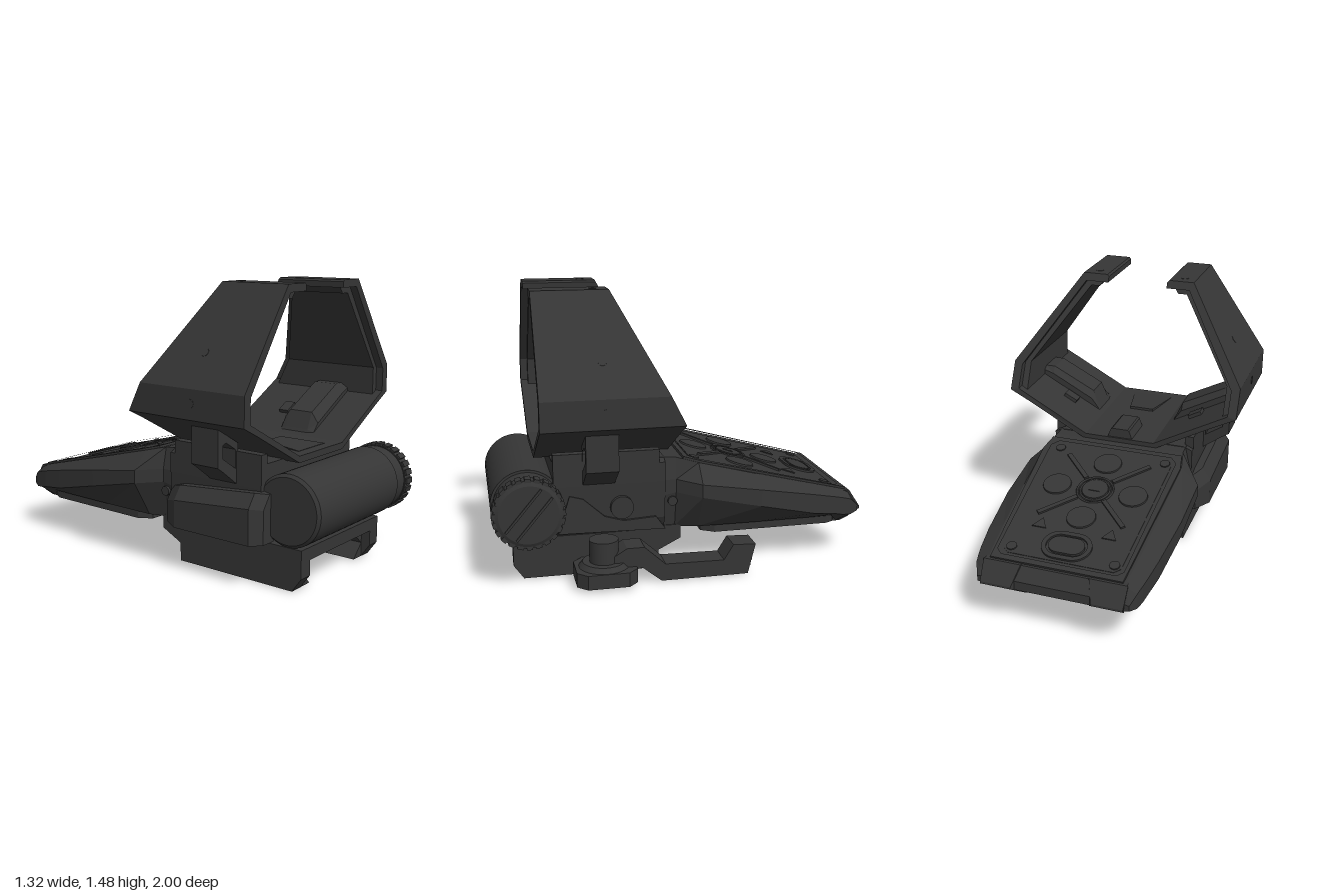
import * as THREE from 'three';

export function createModel() {
  const root = new THREE.Group();
  const black = new THREE.MeshStandardMaterial({ color: 0x353535 });
  black.name = 'matte black';

  const add = (name, geo, parent = root) => {
    const m = new THREE.Mesh(geo, black);
    m.name = name;
    parent.add(m);
    return m;
  };
  const poly = (pts) => new THREE.Shape(pts.map(([x, y]) => new THREE.Vector2(x, y)));
  const hole = (shape, pts) => { shape.holes.push(poly(pts)); return shape; };
  const extrude = (shape, depth) => new THREE.ExtrudeGeometry(shape, { depth, bevelEnabled: false, curveSegments: 12 });
  // prisms along z (x,y points), x (z,y points) and y (x,z points)
  const alongZ = (shape, z0, z1) => extrude(shape, z1 - z0).translate(0, 0, z0);
  const alongX = (pts, x0, x1) =>
    extrude(poly(pts.map(([z, y]) => [-z, y])), x1 - x0).rotateY(Math.PI / 2).translate(x0, 0, 0);
  const alongY = (shape, y0, y1) => extrude(shape, y1 - y0).rotateX(Math.PI / 2).translate(0, y1, 0);
  const box = (w, h, d, x, y, z) => new THREE.BoxGeometry(w, h, d).translate(x, y, z);
  const cylX = (r, x0, x1, y, z, n = 40, r2 = r) =>
    new THREE.CylinderGeometry(r, r2, x1 - x0, n).rotateZ(-Math.PI / 2).translate((x0 + x1) / 2, y, z);
  const cylY = (r, y0, y1, x, z, n = 24, r2 = r) =>
    new THREE.CylinderGeometry(r2, r, y1 - y0, n).translate(x, (y0 + y1) / 2, z);
  const flip = (pts) => pts.map(([x, y]) => [-x, y]);
  const both = (pts) => [...pts, ...flip(pts).reverse()];
  const mirrored = (pts) => poly(both(pts));

  // faceted loft through rings ordered from +z to -z
  function loft(rings) {
    const v = [], n = rings[0].length;
    const tri = (a, b, c) => v.push(...a, ...b, ...c);
    for (let i = 0; i < rings.length - 1; i++)
      for (let j = 0; j < n; j++) {
        const k = (j + 1) % n, [p, q] = [rings[i], rings[i + 1]];
        tri(p[j], q[j], q[k]);
        tri(p[j], q[k], p[k]);
      }
    const first = rings[0], last = rings[rings.length - 1];
    for (let j = 1; j < n - 1; j++) {
      tri(first[0], first[j], first[j + 1]);
      tri(last[0], last[j + 1], last[j]);
    }
    const g = new THREE.BufferGeometry();
    g.setAttribute('position', new THREE.Float32BufferAttribute(v, 3));
    g.computeVertexNormals();
    return g;
  }
  const flipRings = (rings) => rings.map((r) => r.map(([x, y, z]) => [-x, y, z]).reverse());

  // rear body: z, bottom y/half width, side low y, side high y, side half width, top y/half width
  const sections = [
    [0.2, 0.23, 0.36, 0.4, 0.5, 0.4, 0.622, 0.37],
    [0.04, 0.23, 0.36, 0.43, 0.5, 0.4, 0.614, 0.375],
    [-0.08, 0.225, 0.38, 0.42, 0.49, 0.495, 0.583, 0.4],
    [-0.4, 0.225, 0.38, 0.35, 0.44, 0.492, 0.5, 0.395],
    [-0.7, 0.225, 0.375, 0.28, 0.385, 0.465, 0.422, 0.38],
    [-0.84, 0.225, 0.37, 0.26, 0.355, 0.445, 0.386, 0.37],
    [-0.88, 0.185, 0.34, 0.25, 0.345, 0.437, 0.375, 0.365],
    [-0.93, 0.212, 0.34, 0.245, 0.33, 0.425, 0.362, 0.36],
    [-0.978, 0.245, 0.34, 0.255, 0.285, 0.4, 0.295, 0.35],
  ];
  add('rearBody', loft(sections.map(([z, yb, wb, yl, yu, wm, yt, wt]) => [
    [wb, yb, z], [wm, yl, z], [wm, yu, z], [wt, yt, z],
    [-wt, yt, z], [-wm, yu, z], [-wm, yl, z], [-wb, yb, z]])));

  // tail corner lugs with sloped ends
  const lug = [[-0.86, 0.17, 0.34, 0.36, 0.182, 0.37], [-0.9, 0.17, 0.34, 0.37, 0.182, 0.367],
    [-0.935, 0.18, 0.36, 0.38, 0.208, 0.367], [-1, 0.21, 0.375, 0.375, 0.258, 0.27]]
    .map(([z, x0, xb, xt, y0, y1]) => [[xb, y0, z], [xt, y1, z], [x0, y1, z], [x0, y0, z]]);
  add('tailLug', loft(lug));
  add('tailLug', loft(flipRings(lug)));

  // underside pan with raised border
  const pan = [[0.32, -0.11], [0.365, -0.18], [0.36, -0.82], [0.32, -0.89]];
  const panInner = [[0.3, -0.15], [0.335, -0.2], [0.33, -0.79], [0.28, -0.85]];
  add('bottomRim', alongY(hole(mirrored(pan), both(panInner)), 0.18, 0.26));
  add('bottomPanel', alongY(mirrored(panInner), 0.186, 0.26));

  // middle body and side details
  add('middleBody', alongZ(mirrored([[0.36, 0.225], [0.4, 0.3], [0.41, 0.5], [0.41, 0.6], [0.36, 0.62]]), 0.1, 0.68));
  for (const s of [-1, 1]) {
    add('hoodFoot', box(0.05, 0.165, 0.55, s * 0.385, 0.5875, 0.405));
    add('sideScrew', cylX(0.025, -0.01, 0.008, 0.385, 0.06, 16).translate(s * 0.4, 0, 0));
  }
  add('sideButton', cylX(0.06, 0.38, 0.43, 0.375, 0.33));
  const sidePanel = [[0.66, 0.25], [0.6, 0.45], [0.53, 0.43], [0.42, 0.33], [0.32, 0.3], [0.15, 0.31], [0.1, 0.24]];
  add('sidePanel', alongX(sidePanel, 0.38, 0.415));
  const housing = (z, x, y) => [[-0.36, 0.235, z], [-0.36, y, z], [0.05 + x, y, z], [x, y - 0.07, z], [x, 0.235, z]];
  add('sideHousing', loft([housing(0.72, -0.445, 0.48), housing(0.67, -0.5, 0.49), housing(0.2, -0.5, 0.45), housing(0.1, -0.44, 0.42)]));

  // front battery tube, collar and ribbed cap
  const ty = 0.41, tz = 0.815;
  add('batteryTube', cylX(0.183, -0.37, 0.375, ty, tz, 48));
  add('tubeEnd', cylX(0.183, -0.385, -0.37, ty, tz, 48, 0.168));
  add('tubeCollar', cylX(0.17, 0.36, 0.48, ty, tz, 48));
  add('capCore', cylX(0.175, 0.47, 0.535, ty, tz, 48));
  add('capFace', cylX(0.15, 0.535, 0.545, ty, tz, 48, 0.17));
  for (let i = 0; i < 24; i++) {
    const a = (i / 24) * Math.PI * 2;
    add('capRib', box(0.06, 0.02, 0.03, 0, 0.174, 0).rotateX(a).translate(0.507, ty, tz));
  }
  for (const o of [-0.035, 0.035])
    add('capGrip', box(0.012, 0.012, 0.28, 0.546, o, 0).rotateX(0.87).translate(0, ty, tz));

  // rail clamp base
  add('railClamp', alongZ(mirrored([[0.368, 0.225], [0.368, 0.008], [0.215, 0.01], [0.29, 0.085], [0.2, 0.16]]), 0.13, 0.84));
  const clampNose = [[0.84, 0.225], [0.89, 0.225], [0.89, 0.08], [0.84, 0.01]];
  for (const [a, b] of [[0.29, 0.368], [-0.368, -0.29]]) {
    add('clampNose', alongX(clampNose, a, b));
    add('clampTail', alongX([[0.14, 0.1], [0.01, 0.165], [0.01, 0.24], [0.14, 0.24]], a, b));
  }
  add('clampBridge', box(0.58, 0.065, 0.05, 0, 0.1925, 0.865));

  // locking lever
  const lever = [[0.48, 0.11], [0.33, 0.2], [0.24, 0.2], [0.13, 0.1], [-0.18, 0.095], [-0.23, 0.175], [-0.35, 0.17], [-0.31, 0.01], [0.15, 0.01], [0.25, 0.09], [0.45, 0.06]];
  add('leverArm', alongX(lever, 0.42, 0.555));
  for (let i = 0; i < 4; i++) add('leverGrip', box(0.135, 0.012, 0.012, 0.4875, 0.06 + i * 0.03, -0.319 - i * 0.006));
  const nut = [[0.37, 0.32], [0.42, 0.28], [0.58, 0.28], [0.63, 0.33], [0.63, 0.54], [0.58, 0.59], [0.42, 0.59], [0.37, 0.54]];
  add('leverNut', alongY(poly(nut), 0.025, 0.1));
  add('nutShoulder', cylY(0.13, 0.1, 0.125, 0.495, 0.44, 32, 0.11));
  add('leverPost', cylY(0.075, 0.12, 0.24, 0.495, 0.44, 32));
  add('postFoot', cylY(0.05, 0.005, 0.03, 0.495, 0.44));
  add('leverBolt', box(0.1, 0.08, 0.12, 0.39, 0.07, 0.44));

  // protective hood: outer plate with a raked rear edge, plus inner liner
  const rake = (g, front, back) => {
    const p = g.attributes.position;
    for (let i = 0; i < p.count; i++)
      if (p.getZ(i) < front - 0.1) p.setZ(i, back + Math.max(0, (p.getY(i) - 0.85) / 0.63) * 0.32);
    g.computeVertexNormals();
    return g;
  };
  add('hood', rake(alongZ(mirrored([
    [0.2, 0.64], [0.61, 0.86], [0.61, 0.985], [0.3, 1.445], [0.17, 1.445], [0.17, 1.475], [0.18, 1.485],
    [0.32, 1.485], [0.658, 1.0], [0.658, 0.85], [0.55, 0.795], [0.2, 0.605]]), 0.045, 0.76), 0.76, 0.045));
  const liner = [[0.2, 1.45], [0.23, 1.412], [0.28, 1.412], [0.575, 0.99], [0.575, 0.84], [0.62, 0.86], [0.62, 0.985], [0.305, 1.45]];
  const strut = [[0.558, 0.8], [0.558, 0.61], [0.52, 0.585], [0.41, 0.505], [0.4, 0.505], [0.4, 0.71]];
  const strutHole = [[0.42, 0.68], [0.495, 0.725], [0.52, 0.715], [0.52, 0.65], [0.42, 0.585]];
  // pad rises out of the sloping floor with bevelled ends
  const padRing = (z, h) => [[0.225, 0.65, z], [0.6, 0.85, z], [0.575, 0.85 + 0.035 * h, z],
    [0.52, 0.815 + 0.07 * h, z], [0.275, 0.68 + 0.08 * h, z], [0.235, 0.655 + 0.015 * h, z]];
  const pad = [padRing(0.56, 0.3), padRing(0.52, 1), padRing(0.38, 1), padRing(0.35, 0.5)];
  for (const s of [1, -1]) {
    const side = (pts) => (s > 0 ? pts : flip(pts));
    add('hoodLiner', rake(alongZ(poly(side(liner)), 0.09, 0.72), 0.72, 0.09));
    add('hoodPad', loft(s > 0 ? pad : flipRings(pad)));
    add('hoodStrut', alongZ(hole(poly(side(strut)), side(strutHole)), 0.365, 0.53));
    add('innerTab', box(0.08, 0.03, 0.06, 0, 0, 0).rotateZ(s * 0.49).translate(s * 0.38, 0.742, 0.29));
    // screws on the outer faces
    for (const [x, y, a] of [[0.658, 0.93, Math.PI / 2], [0.545, 1.162, 0.964], [0.25, 1.485, 0]])
      add('hoodScrew', cylY(0.022, -0.004, 0.002, 0, 0, 12).rotateZ(-s * a).translate(s * x, y, 0.44));
  }
  add('rearSight', alongZ(mirrored([[0.075, 0.63], [0.055, 0.685], [0.045, 0.692]]), 0.055, 0.25));
  add('floorRamp', loft([
    [[0.12, 0.63, 0.7], [0.12, 0.642, 0.7], [-0.12, 0.642, 0.7], [-0.12, 0.63, 0.7]],
    [[0.07, 0.63, 0.46], [0.07, 0.654, 0.46], [-0.07, 0.654, 0.46], [-0.07, 0.63, 0.46]]]));

  // sloping control panel, laid out flat and then tilted
  const panel = new THREE.Group();
  panel.name = 'controlPanel';
  panel.position.set(0, 0.492, -0.43);
  panel.rotation.x = -0.2545;
  root.add(panel);
  const P = (z) => (z + 0.43) * 1.033;
  const rimOut = [[0.38, P(0)], [0.4, P(-0.1)], [0.35, P(-0.92)]];
  const rimIn = [[0.33, P(-0.03)], [0.365, P(-0.07)], [0.335, P(-0.86)], [0.305, P(-0.89)]];
  add('panelRim', alongY(hole(mirrored(rimOut), both(rimIn)), -0.02, 0.012), panel);
  const plate = rimIn.map(([x, z]) => [x - 0.022, z * 0.95]);
  add('panelPlate', alongY(mirrored(plate), -0.02, 0.003), panel);
  const ring = (r, x, z) => add('buttonRing', new THREE.TorusGeometry(r, 0.006, 6, 32).rotateX(Math.PI / 2).translate(x, 0.004, P(z)), panel);
  for (const [x, z, r] of [[0, -0.35, 0.075], [0.215, -0.355, 0.08], [-0.215, -0.355, 0.08], [0, -0.56, 0.08], [0, -0.145, 0.08]])
    add('button', cylY(r, -0.01, 0.012, x, P(z), 32, r - 0.004), panel);
  ring(0.097, 0, -0.35);
  ring(0.08, 0, -0.35);
  add('buttonMark', cylY(0.035, 0.01, 0.016, 0, 0, 3).translate(0, 0, P(-0.35)), panel);
  // oval button and its raised surround
  const oval = (r, half) => {
    const s = new THREE.Shape();
    s.absarc(half, 0, r, -Math.PI / 2, Math.PI / 2);
    s.absarc(-half, 0, r, Math.PI / 2, Math.PI * 1.5);
    return s;
  };
  const surround = oval(0.092, 0.04);
  surround.holes.push(oval(0.068, 0.04));
  add('ovalSurround', alongY(surround, -0.01, 0.014).translate(0, 0, P(-0.765)), panel);
  add('ovalButton', alongY(oval(0.055, 0.04), -0.01, 0.016).translate(0, 0, P(-0.765)), panel);
  for (const s of [-1, 1]) {
    add('arrowMark', cylY(0.045, 0, 0.009, 0, 0, 3).translate(s * 0.19, 0, P(-0.65)), panel);
    for (const z of [-0.58, -0.12]) {
      const a = new THREE.Vector2(s * 0.075, P(-0.35) + Math.sign(z + 0.35) * 0.075), b = new THREE.Vector2(s * 0.235, P(z));
      const d = b.clone().sub(a), c = a.clone().add(b).multiplyScalar(0.5);
      add('panelRidge', box(d.length(), 0.02, 0.025, 0, 0.004, 0).rotateY(-Math.atan2(d.y, d.x)).translate(c.x, 0, c.y), panel);
    }
    for (const [x, z] of [[0.275, -0.825], [0.305, -0.075]])
      add('panelScrew', cylY(0.027, -0.01, 0.01, s * x, P(z), 16), panel);
  }
  return root;
}
